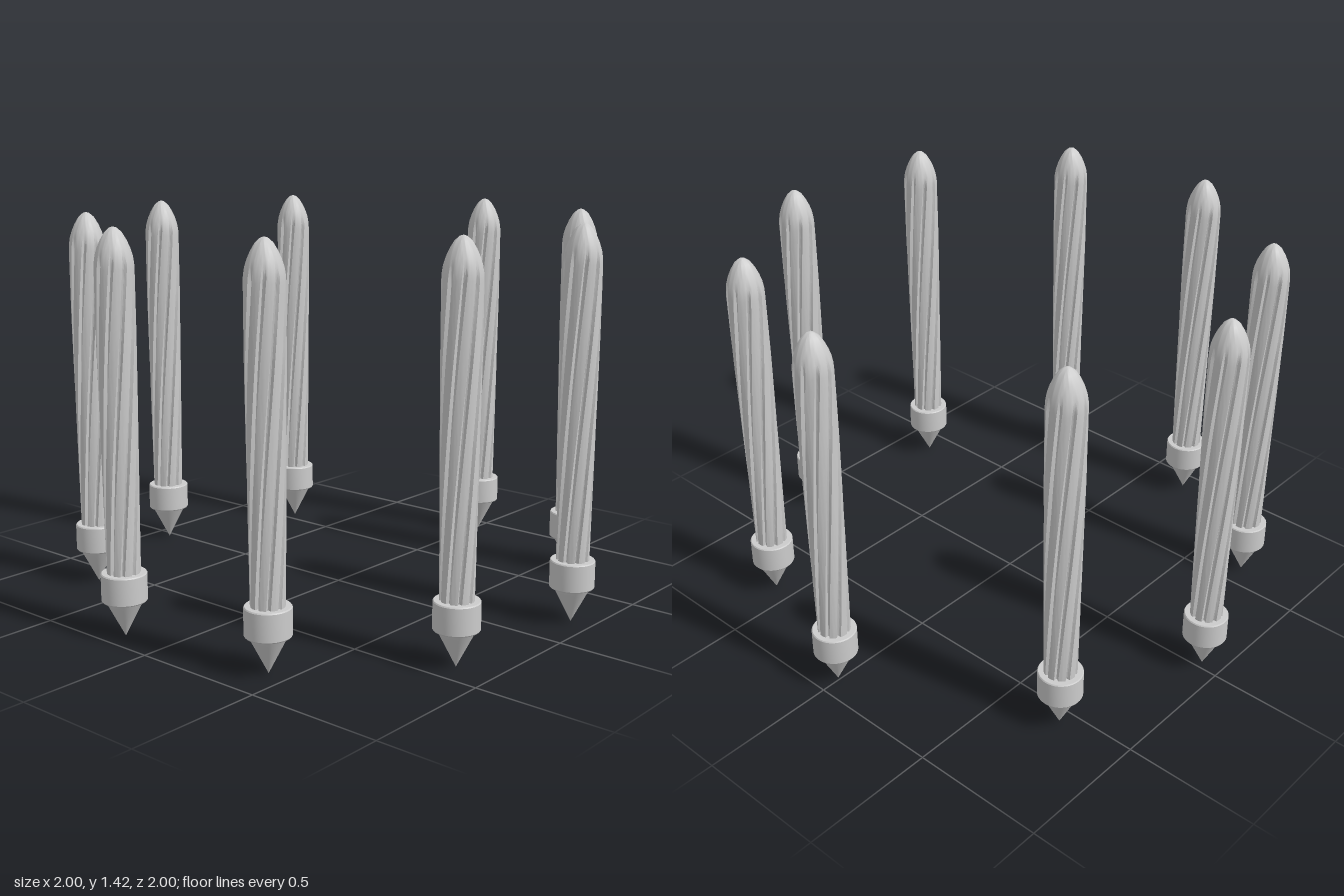
import * as THREE from 'three';
import { mergeVertices, toCreasedNormals } from 'three/addons/utils/BufferGeometryUtils.js';

const FLUTES = 9, PER_FLUTE = 8, TWIST = 1.4;
const BOTTOM = 0.2, SHOULDER = 1.32;

const lathe = (points, segments) =>
  new THREE.LatheGeometry(points.map(([r, y]) => new THREE.Vector2(r, y)), segments);

// Tapered shaft with a pointed cap; narrow grooves spiral up and fade out at the shoulder
function shaftGeometry() {
  const profile = [];
  const rows = 28;
  for (let i = 0; i <= rows; i++) {
    const t = i / rows;
    const r = 0.058 + 0.009 * Math.min(1, t * 1.3);
    profile.push([r, BOTTOM + t * (1.28 - BOTTOM)]);
  }
  profile.push([0.066, 1.3], [0.062, 1.325], [0.054, 1.35], [0.043, 1.375],
    [0.028, 1.4], [0.012, 1.414], [0, 1.418]);
  const geo = lathe(profile, FLUTES * PER_FLUTE);
  const p = geo.attributes.position;
  const v = new THREE.Vector3();
  for (let i = 0; i < p.count; i++) {
    v.fromBufferAttribute(p, i);
    const column = Math.floor(i / profile.length) % PER_FLUTE;
    const depth = column === 0 ? 0.012 : column === 1 ? 0.01 : 0;
    const fade = THREE.MathUtils.clamp((SHOULDER + 0.02 - v.y) / 0.06, 0, 1);
    const r = Math.hypot(v.x, v.z);
    const scale = r > 0 ? (r - depth * fade) / r : 1;
    const turn = TWIST * (v.y - BOTTOM) / (SHOULDER - BOTTOM);
    v.set(v.x * scale, v.y, v.z * scale).applyAxisAngle(THREE.Object3D.DEFAULT_UP, turn);
    p.setXYZ(i, v.x, v.y, v.z);
  }
  geo.deleteAttribute('uv');
  geo.deleteAttribute('normal');
  return toCreasedNormals(mergeVertices(geo, 1e-5), 0.6);
}

export function createModel() {
  const group = new THREE.Group();
  const material = new THREE.MeshStandardMaterial({ color: 0xcccccc });

  const parts = {
    flutedShaft: shaftGeometry(),
    collar: toCreasedNormals(lathe([
      [0, 0.13], [0.077, 0.13], [0.08, 0.134], [0.08, 0.228], [0.077, 0.232], [0, 0.232],
    ], 40), 0.6),
    groundSpike: toCreasedNormals(lathe([[0, 0], [0.066, 0.13], [0, 0.13]], 40), 0.6),
  };

  // Posts standing in a ring, x and z of each
  const posts = [
    [0.01, -0.92], [0.59, -0.72], [0.915, -0.205], [0.85, 0.4], [0.42, 0.84],
    [-0.185, 0.92], [-0.705, 0.6], [-0.92, 0.03], [-0.73, -0.555],
  ];
  posts.forEach(([x, z], i) => {
    const post = new THREE.Group();
    post.name = `post${i + 1}`;
    for (const [name, geometry] of Object.entries(parts)) {
      const mesh = new THREE.Mesh(geometry, material);
      mesh.name = name;
      post.add(mesh);
    }
    post.position.set(x, 0, z);
    group.add(post);
  });
  return group;
}
